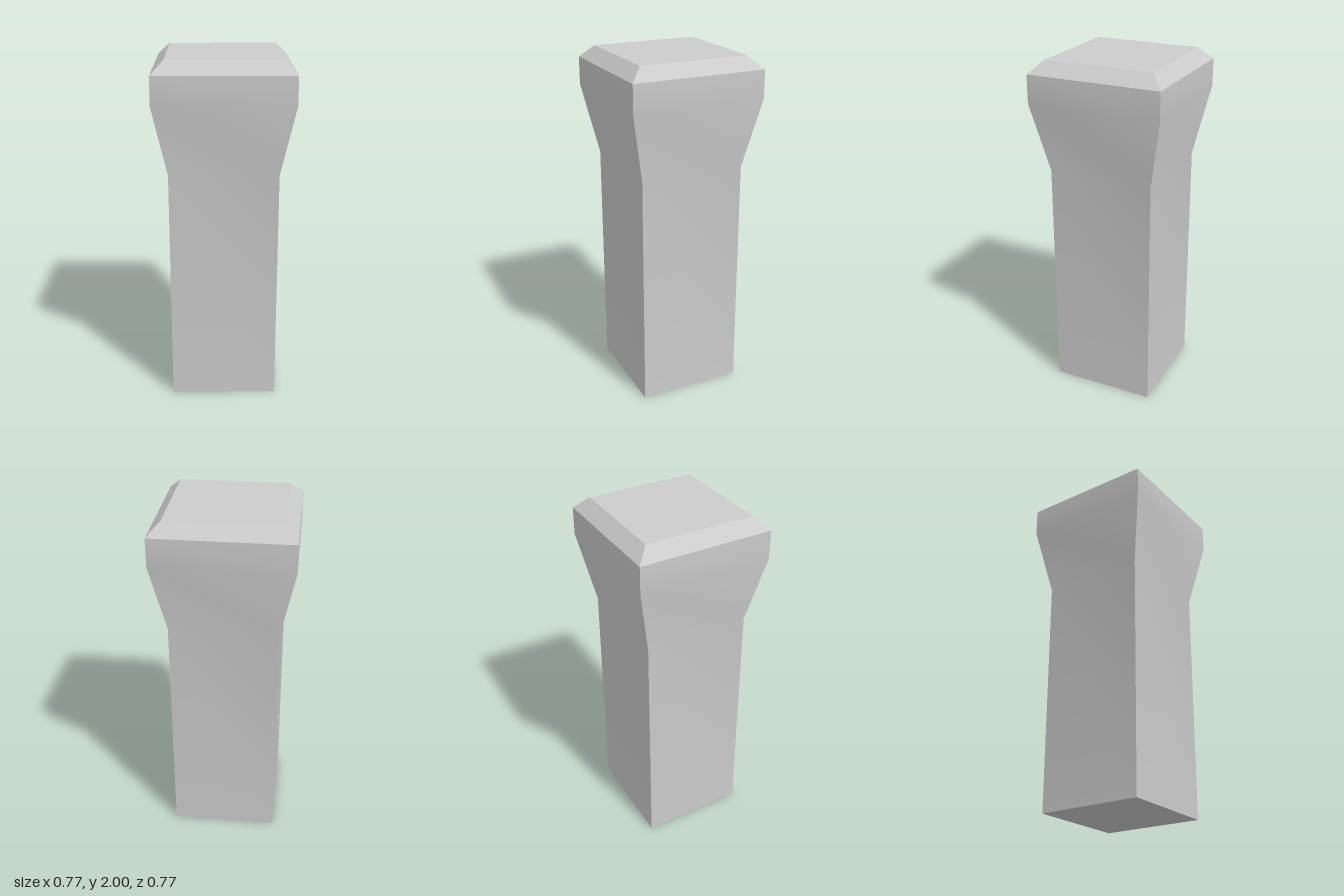
import * as THREE from 'three';
import { toCreasedNormals } from 'three/addons/utils/BufferGeometryUtils.js';

// Half width and height of each square section, bottom to top
const SECTIONS = [
  [0, 0],
  [0.305, 0],
  [0.305, 1.37],
  [0.385, 1.77],
  [0.385, 1.93],
  [0.314, 2],
  [0, 2],
];

export function createModel() {
  const group = new THREE.Group();
  group.name = 'post';

  // A four-sided lathe: the radius reaches the corners of each square section
  const profile = SECTIONS.map(([half, y]) => new THREE.Vector2(half * Math.SQRT2, y));
  const lathe = new THREE.LatheGeometry(profile, 4, Math.PI / 4);

  // Soft shading through the flare, sharp corners, bevel and ends
  const geometry = toCreasedNormals(lathe, Math.PI / 6);
  const post = new THREE.Mesh(geometry, new THREE.MeshStandardMaterial({ color: 0xcccccc }));
  post.name = 'flaredPost';
  group.add(post);

  return group;
}
